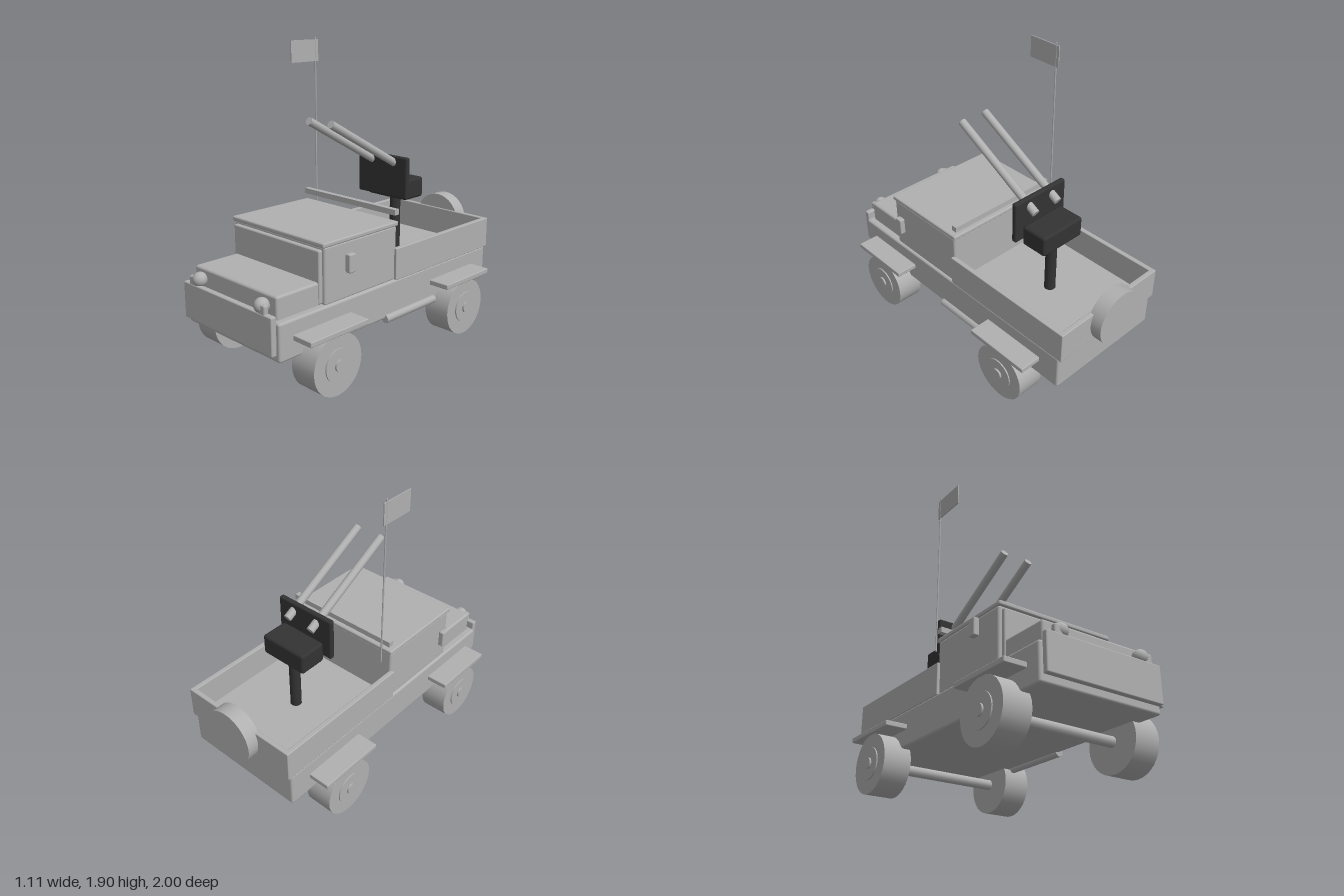
import * as THREE from 'three';
import { RoundedBoxGeometry } from 'three/addons/geometries/RoundedBoxGeometry.js';

export function createModel() {
  const root = new THREE.Group();
  root.name = 'gunTruck';

  const bodyGrey = new THREE.MeshStandardMaterial({ color: 0xb0b0b0 });
  bodyGrey.name = 'body grey';
  const gunBlack = new THREE.MeshStandardMaterial({ color: 0x333333 });
  gunBlack.name = 'gun black';

  const add = (name, geometry, material = bodyGrey) => {
    const mesh = new THREE.Mesh(geometry, material);
    mesh.name = name;
    root.add(mesh);
    return mesh;
  };
  // Box from its limits on each axis, with rounded edges when r > 0
  const box = (name, [x0, x1], [y0, y1], [z0, z1], r = 0, material = bodyGrey) => {
    const size = [x1 - x0, y1 - y0, z1 - z0];
    const geometry = r ? new RoundedBoxGeometry(...size, 2, r) : new THREE.BoxGeometry(...size);
    const mesh = add(name, geometry, material);
    mesh.position.set((x0 + x1) / 2, (y0 + y1) / 2, (z0 + z1) / 2);
    return mesh;
  };
  // Cylinder running between two points
  const rod = (name, a, b, r, sides = 24, material = bodyGrey) => {
    const start = new THREE.Vector3(...a), end = new THREE.Vector3(...b);
    const dir = end.clone().sub(start);
    const mesh = add(name, new THREE.CylinderGeometry(r, r, dir.length(), sides), material);
    mesh.position.copy(start).add(end).multiplyScalar(0.5);
    mesh.quaternion.setFromUnitVectors(new THREE.Vector3(0, 1, 0), dir.normalize());
    return mesh;
  };
  const span = (s, a, b) => (s > 0 ? [a, b] : [-b, -a]);

  // Body and cab
  box('chassis', [-0.413, 0.413], [0.26, 0.487], [-0.905, 0.95], 0.015);
  box('hood', [-0.368, 0.368], [0.47, 0.62], [0.58, 0.925], 0.015);
  box('cab', [-0.397, 0.397], [0.48, 0.825], [0.0, 0.6], 0.015);
  box('windshield', [-0.376, 0.376], [0.49, 0.805], [0.59, 0.625], 0.01);
  box('roof', [-0.403, 0.403], [0.82, 0.85], [-0.01, 0.615], 0.01);
  box('lightBar', [-0.395, 0.395], [0.887, 0.922], [-0.018, 0.018]);
  box('bumper', [-0.397, 0.397], [0.303, 0.53], [0.953, 0.99], 0.008);

  // Cargo bed
  box('bedFloor', [-0.39, 0.39], [0.48, 0.495], [-0.91, 0.0]);
  box('tailgate', [-0.415, 0.415], [0.482, 0.685], [-0.927, -0.895], 0.006);
  for (const s of [1, -1]) {
    box('bedSide', span(s, 0.383, 0.415), [0.482, 0.685], [-0.92, 0.02], 0.006);
  }

  // Paired details
  for (const s of [1, -1]) {
    box('mirror', span(s, 0.445, 0.482), [0.665, 0.775], [0.437, 0.49], 0.008);
    box('bumperHorn', span(s, 0.285, 0.34), [0.31, 0.58], [0.955, 0.988], 0.01);
    const lamp = add('headlight', new THREE.SphereGeometry(0.045, 20, 14));
    lamp.position.set(s * 0.28, 0.56, 0.955);
  }

  // Wheels, axles and fenders
  for (const z of [0.63, -0.535]) {
    const y = 0.184;
    rod('axle', [-0.45, y, z], [0.45, y, z], 0.033, 12);
    for (const s of [1, -1]) {
      rod('tire', [s * 0.353, y, z], [s * 0.53, y, z], 0.184, 32);
      rod('rim', [s * 0.5, y, z], [s * 0.538, y, z], 0.1, 24);
      rod('hubCap', [s * 0.5, y, z], [s * 0.55, y, z], 0.035, 12);
      box('fender', span(s, 0.39, 0.553), [0.364, 0.397], [z - 0.222, z + 0.222], 0.006);
    }
  }

  // Spare wheel and exhaust
  rod('spareWheel', [0, 0.607, -0.905], [0, 0.607, -1], 0.176, 32);
  rod('exhaust', [0.413, 0.26, 0.115], [0.413, 0.26, -0.35], 0.026, 10);

  // Gun mount
  rod('gunPost', [0, 0.49, -0.44], [0, 0.88, -0.44], 0.036, 12, gunBlack);
  box('gunBox', [-0.163, 0.163], [0.865, 1.0], [-0.533, -0.35], 0.018, gunBlack);
  box('gunShield', [-0.208, 0.208], [0.887, 1.16], [-0.341, -0.305], 0.012, gunBlack);
  for (const s of [1, -1]) {
    rod('barrel', [s * 0.093, 1.075, -0.39], [s * 0.093, 1.428, 0.252], 0.026, 12);
  }

  // Antenna with flag
  rod('antenna', [-0.374, 0.795, -0.07], [-0.374, 1.905, -0.07], 0.005, 8);
  box('flag', [-0.377, -0.371], [1.75, 1.888], [-0.093, 0.138]);

  return root;
}
